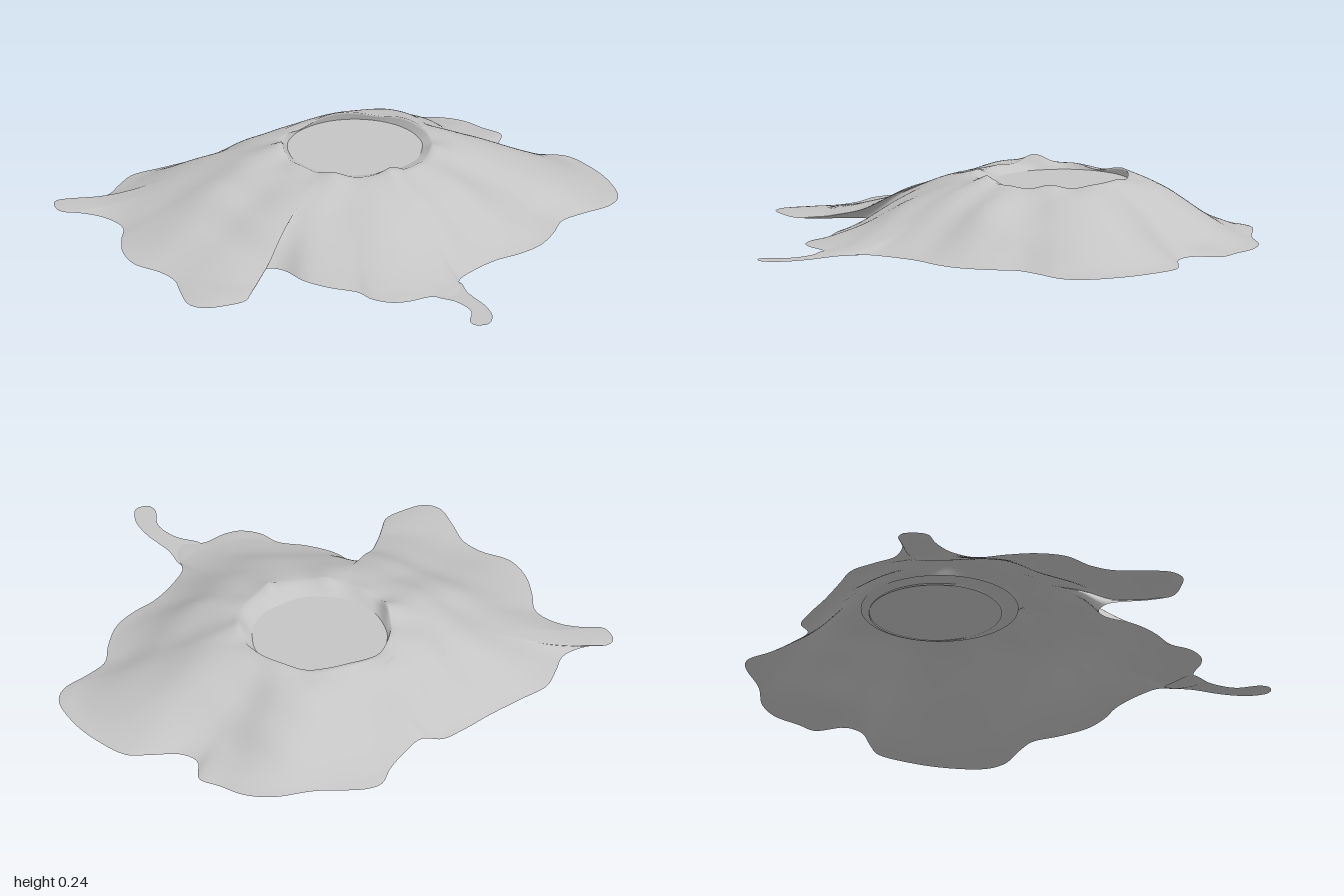
import * as THREE from 'three';

// Shoreline of the island as x, z pairs, starting at the western spur
const SHORE = [
  -.97, -.205, -.9, -.2, -.81, -.24, -.77, -.32, -.72, -.41, -.62, -.47, -.5, -.54, -.38, -.62,
  -.3, -.66, -.23, -.645, -.16, -.71, -.09, -.8, -.04, -.89, .02, -.91, .2, -.89, .35, -.9,
  .45, -.87, .53, -.8, .59, -.75, .58, -.64, .63, -.59, .74, -.575, .82, -.56, .9, -.47,
  .97, -.34, 1, -.2, .97, -.13, .87, -.06, .8, 0, .77, .1, .72, .21, .65, .28,
  .56, .34, .47, .44, .43, .51, .44, .58, .41, .66, .33, .65, .25, .69, .19, .7,
  .12, .67, .07, .61, -.03, .57, -.12, .51, -.19, .42, -.24, .4, -.3, .44, -.31, .6,
  -.33, .68, -.4, .72, -.48, .74, -.53, .71, -.56, .6, -.58, .5, -.63, .43, -.72, .36,
  -.76, .26, -.765, .15, -.76, .04, -.82, -.04, -.9, -.08, -.98, -.1, -1, -.18,
];
// Hooked spit of flat land
const SPIT = [
  .34, .645, .42, .7, .47, .78, .465, .87, .485, .9, .53, .89, .545, .82, .52, .73, .46, .62, .43, .53, .38, .58,
];
const CREST = { x: .075, z: -.19, r: .27 };
const FLOOR = { x: .065, z: -.235, r: .235 };
const FLOOR_Y = .187;
const N = 320, INNER = 4, OUTER = 32;

// Ridges and gullies: [angle, height, angular width]
const RIDGES = [
  [-.25, .02, .22], [-.8, -.024, .2], [-1.3, .008, .2], [-2.25, -.006, .2],
  [.2, -.012, .18], [.62, .012, .2], [1.42, .008, .2], [2.4, -.008, .15], [2.8, .014, .2],
];
// Small peaks and dips along the crater rim
const PEAKS = [
  [3.0, .025, .2], [1.1, .025, .15], [-1.85, .012, .2], [-2.4, -.016, .35], [-.75, .012, .25],
  [.1, .01, .2], [1.9, .008, .15],
];

const wrap = (a) => Math.atan2(Math.sin(a), Math.cos(a));
const bumps = (list, a) => list.reduce((sum, [at, h, w]) => sum + h * Math.exp(-((wrap(a - at) / w) ** 2)), 0);
const bearing = (x, z) => Math.atan2(z - CREST.z, x - CREST.x);
const distance = (x, z) => Math.hypot(x - CREST.x, z - CREST.z);

const toVectors = (list) => {
  const out = [];
  for (let i = 0; i < list.length; i += 2) out.push(new THREE.Vector3(list[i], 0, list[i + 1]));
  return out;
};

// Angle around the crater for each shore point, made steadily increasing so spurs do not fold
function spokeAngles(points) {
  const raw = [];
  points.forEach((p, i) => {
    const a = bearing(p.x, p.z);
    if (i === 0) raw.push(a > 0 ? a - 2 * Math.PI : a);
    else raw.push(raw[i - 1] + wrap(a - raw[i - 1]));
  });
  const up = [...raw], down = [...raw];
  for (let i = 1; i < N; i++) up[i] = Math.max(up[i], up[i - 1]);
  for (let i = N - 2; i >= 0; i--) down[i] = Math.min(down[i], down[i + 1]);
  return raw.map((_, i) => {
    let sum = 0;
    for (let k = -5; k <= 5; k++) {
      const j = (i + k + N) % N, turn = i + k < 0 ? -1 : i + k >= N ? 1 : 0;
      sum += (up[j] + down[j]) / 2 + turn * 2 * Math.PI;
    }
    return sum / 11;
  });
}

// Foot of the mountain: shore distance averaged over neighbouring bearings
function footRadii(shore) {
  const M = 360;
  const polar = shore.map((p) => [bearing(p.x, p.z), distance(p.x, p.z)]);
  const table = Array.from({ length: M }, (_, i) => {
    const a = (i / M) * 2 * Math.PI;
    let sum = 0, weight = 0;
    for (const [b, r] of polar) {
      const w = Math.exp(-((wrap(a - b) / .25) ** 2));
      sum += w * r;
      weight += w;
    }
    return .98 * sum / weight;
  });
  return (a) => {
    const f = ((a / (2 * Math.PI) + 1) % 1) * M, i = Math.floor(f);
    return THREE.MathUtils.lerp(table[i % M], table[(i + 1) % M], f - i);
  };
}

// Weathered surface variation
const rough = (x, z) =>
  .005 * Math.sin(13 * x + 5 * z + 2 * Math.sin(7 * z)) + .004 * Math.sin(21 * z - 11 * x + 2 * Math.sin(9 * x));

function mountainGeometry() {
  const curve = new THREE.CatmullRomCurve3(toVectors(SHORE), true);
  const shore = Array.from({ length: N }, (_, i) => curve.getPointAt(i / N));
  const angles = spokeAngles(shore), foot = footRadii(shore);
  const rows = INNER + OUTER + 1, pos = [], index = [];
  shore.forEach((p, i) => {
    const a = angles[i], c = Math.cos(a), s = Math.sin(a);
    const top = .212 + bumps(PEAKS, a) + .003 * Math.sin(a * 11);
    const inner = [FLOOR.x + FLOOR.r * c, FLOOR.z + FLOOR.r * s];
    const crest = [CREST.x + CREST.r * c, CREST.z + CREST.r * s];
    const reach = Math.min(.66, .75 * distance(p.x, p.z));
    const mid = [CREST.x + reach * c, CREST.z + reach * s];
    // Crater wall from the floor up to the crest
    for (let j = 0; j < INNER; j++) {
      const t = j / INNER, low = FLOOR_Y - .005;
      pos.push(inner[0] + (crest[0] - inner[0]) * t, low + (top - low) * t, inner[1] + (crest[1] - inner[1]) * t);
    }
    // Outer slope: a cone to the foot, then low land out to the shore
    for (let j = 0; j <= OUTER; j++) {
      const t = j / OUTER, u = 1 - t;
      const x = u * u * crest[0] + 2 * u * t * mid[0] + t * t * p.x;
      const z = u * u * crest[1] + 2 * u * t * mid[1] + t * t * p.z;
      const b = bearing(x, z);
      const v = THREE.MathUtils.clamp((distance(x, z) - CREST.r) / (foot(b) - CREST.r), 0, 1);
      const cone = .194 * (1 - v) + .012 * Math.sin(2 * Math.PI * v) + .018;
      const relief = Math.sin(Math.PI * v) * (bumps(RIDGES, b) + rough(x, z));
      const y = (cone + relief) * (1 - t ** 5) + (top - .212) * u ** 7;
      pos.push(x, Math.max(0, y), z);
    }
    const n = (i + 1) % N;
    for (let j = 0; j < rows - 1; j++) {
      const q = i * rows + j, w = n * rows + j;
      index.push(q, w, q + 1, w, w + 1, q + 1);
    }
  });
  const g = new THREE.BufferGeometry();
  g.setAttribute('position', new THREE.Float32BufferAttribute(pos, 3));
  g.setIndex(index);
  g.computeVertexNormals();
  return g;
}

export function createModel() {
  const group = new THREE.Group();
  group.name = 'craterIsland';
  const rock = new THREE.MeshStandardMaterial({ color: 0xc4c4c4, side: THREE.DoubleSide });
  rock.name = 'grey rock';
  const add = (name, geometry) => {
    const mesh = new THREE.Mesh(geometry, rock);
    mesh.name = name;
    group.add(mesh);
    return mesh;
  };

  add('mountain', mountainGeometry());

  // Flat crater floor, tucked under the rim
  const floor = add('craterFloor', new THREE.CircleGeometry(.28, 64).rotateX(-Math.PI / 2));
  floor.position.set(.04, FLOOR_Y, -.215);

  // Flat spit; the shape's y is mirrored to become z
  const edge = new THREE.CatmullRomCurve3(toVectors(SPIT), true).getPoints(60);
  const shape = new THREE.Shape(edge.map((p) => new THREE.Vector2(p.x, -p.z)));
  const spit = add('spit', new THREE.ShapeGeometry(shape).rotateX(-Math.PI / 2));
  spit.position.y = .002;

  return group;
}
